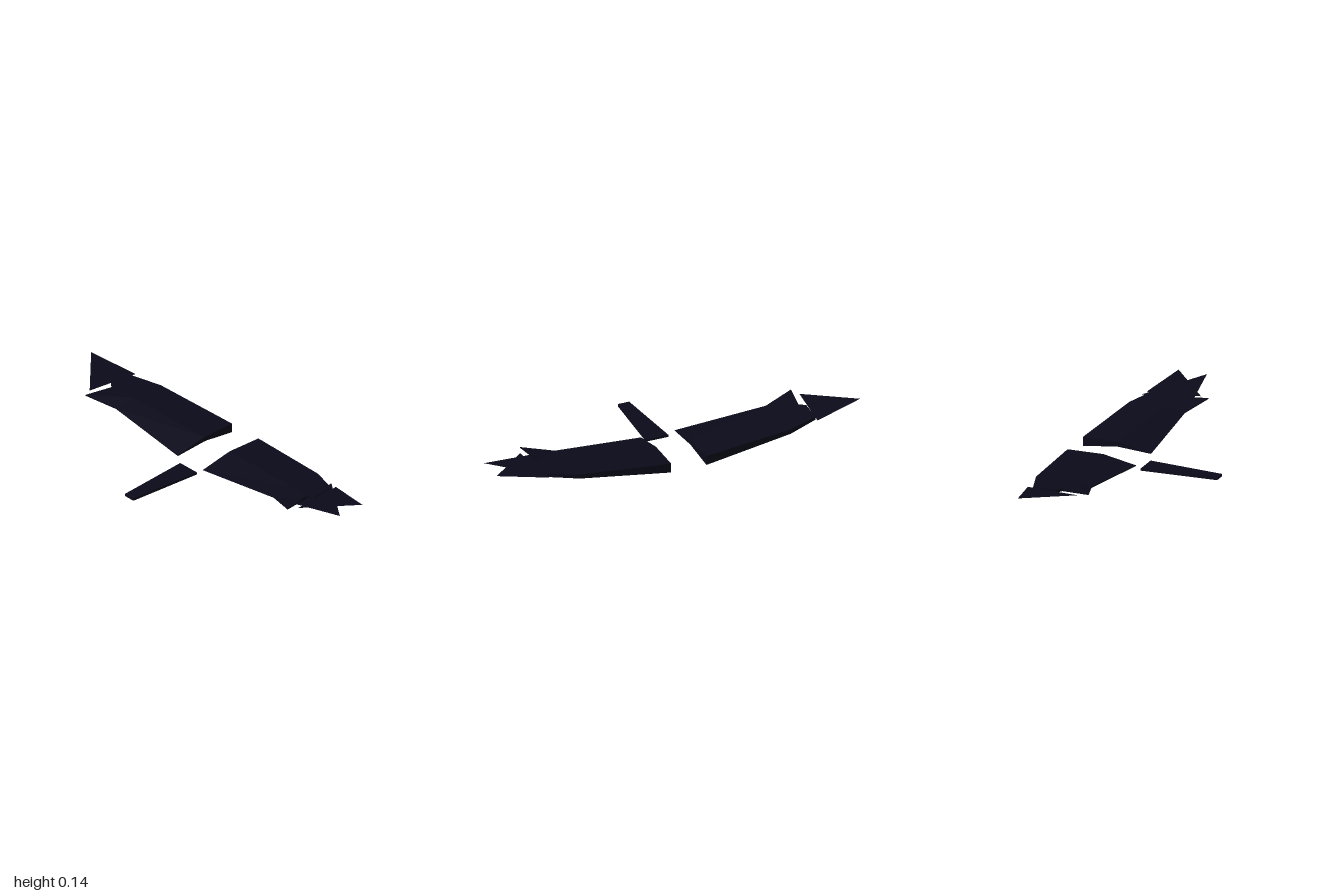
import * as THREE from 'three';

const feather = new THREE.MeshStandardMaterial({ color: 0x0a0a1a, side: THREE.DoubleSide });
feather.name = 'midnight feather';

// Faces are corner lists, fanned into flat triangles; side = -1 mirrors in z.
function mesh(name, faces, side = 1) {
  const pos = [];
  for (const face of faces) {
    const f = face.map(([x, y, z]) => [x, y, z * side]);
    if (side < 0) f.reverse();
    for (let i = 1; i < f.length - 1; i++) pos.push(...f[0], ...f[i], ...f[i + 1]);
  }
  const g = new THREE.BufferGeometry();
  g.setAttribute('position', new THREE.Float32BufferAttribute(pos, 3));
  g.computeVertexNormals();
  const m = new THREE.Mesh(g, feather);
  m.name = name;
  return m;
}

// Skin closed cross-sections, each a list of [x, top, bottom, z] from low x to high x.
function loft(sections) {
  const rings = sections.map(s => [
    ...s.map(([x, t, , z]) => [x, t, z]),
    ...s.map(([x, , b, z]) => [x, b, z]).reverse(),
  ]);
  const n = rings[0].length, faces = [];
  for (let i = 0; i < rings.length - 1; i++) {
    for (let k = 0; k < n; k++) {
      const l = (k + 1) % n;
      faces.push([rings[i][k], rings[i + 1][k], rings[i + 1][l], rings[i][l]]);
    }
  }
  const last = rings[rings.length - 1];
  for (let k = 0; k < n / 2 - 1; k++) {
    const q = [k, k + 1, n - 2 - k, n - 1 - k];
    faces.push(q.map(j => rings[0][j]), q.map(j => last[j]).reverse());
  }
  return faces;
}

export function createModel() {
  const group = new THREE.Group();
  group.name = 'wingsAndTail';

  // Wings: thick leading edge, thin trailing edge, notched outer end
  const wing = loft([
    [[0.022, 0.037, 0.034, 0.093], [0.2, 0.07, 0.045, 0.093], [0.215, 0.07, 0.045, 0.093], [0.395, 0.068, 0.018, 0.097]],
    [[0.052, 0.083, 0.079, 0.58], [0.17, 0.097, 0.08, 0.58], [0.19, 0.097, 0.08, 0.58], [0.355, 0.094, 0.07, 0.58]],
    [[-0.005, 0.112, 0.107, 0.745], [0.15, 0.108, 0.094, 0.715], [0.172, 0.108, 0.094, 0.748], [0.3, 0.104, 0.088, 0.74]],
  ]);
  // Thin wingtip blades rising outward
  const tip = [[0.045, 0.106, 0.768], [0.27, 0.135, 1], [0.33, 0.098, 0.738]];
  const crossTip = [[0.07, 0.1, 0.73], [0.115, 0.134, 1], [0.34, 0.096, 0.695]];

  for (const [side, name] of [[1, 'front'], [-1, 'back']]) {
    group.add(mesh(name + 'Wing', wing, side));
    group.add(mesh(name + 'WingTip', [tip], side));
  }
  group.add(mesh('frontCrossedWingTip', [crossTip]));

  // Flat tapered tail
  group.add(mesh('tail', loft([
    [[-0.395, 0.012, 0, -0.033], [0.01, 0.012, 0, -0.063]],
    [[-0.395, 0.012, 0, 0.03], [0.01, 0.012, 0, 0.06]],
  ])));
  return group;
}
